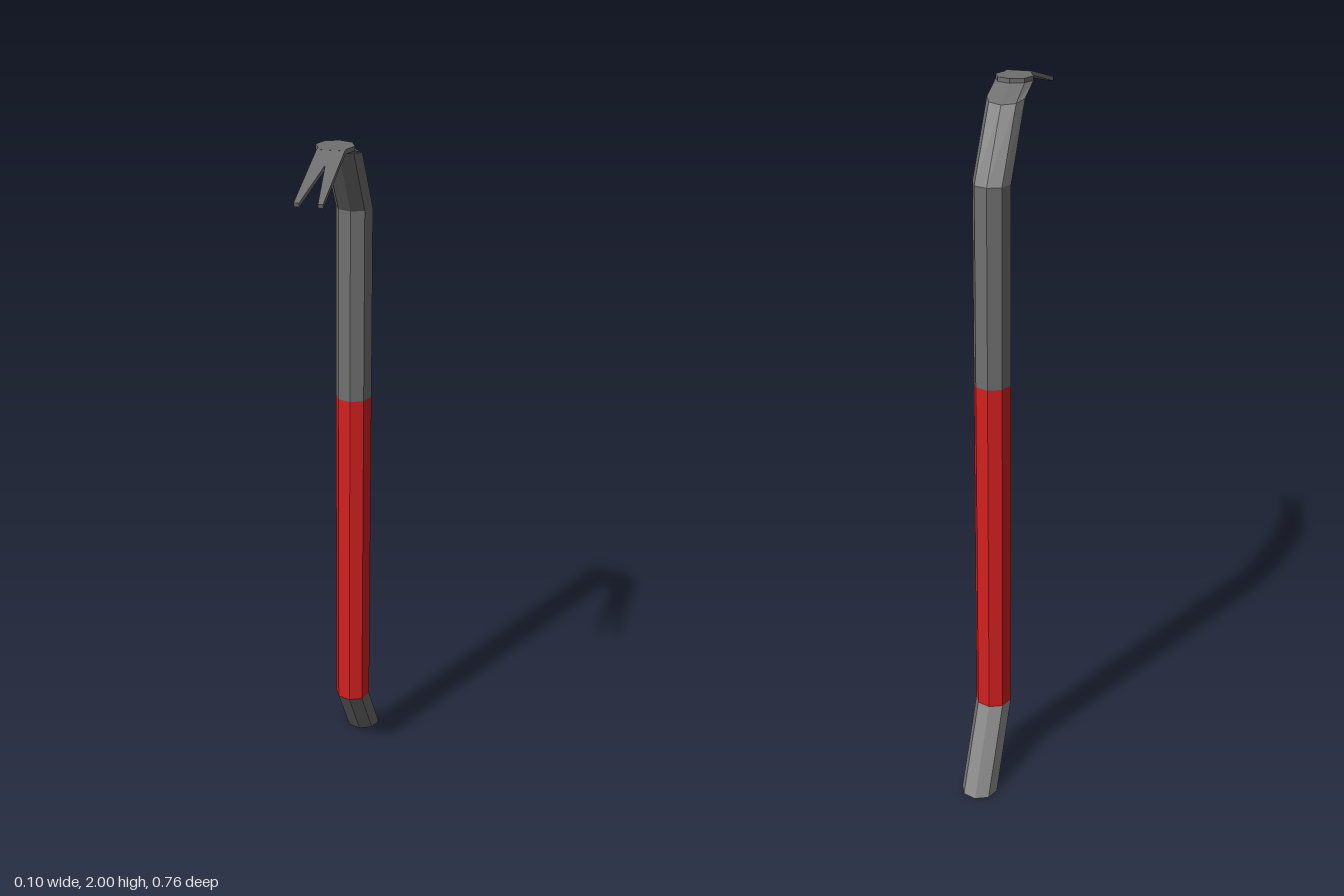
import * as THREE from 'three';

const R = 0.052;
const SIDES = 8;
const steel = new THREE.MeshStandardMaterial({ color: 0x707070, flatShading: true });
const red = new THREE.MeshStandardMaterial({ color: 0xd42020, flatShading: true });

// Corner j of an octagonal ring { y, z, tilt }, tilt raising its front edge
function corner(ring, j) {
  const a = (j / SIDES) * Math.PI * 2;
  const dz = R * Math.cos(a);
  return [R * Math.sin(a), ring.y + (ring.tilt || 0) * dz, ring.z + dz];
}

// Octagonal bar through rings listed from bottom to top, closed at both ends
function bar(name, rings, material) {
  const pos = [];
  const first = rings[0];
  const last = rings[rings.length - 1];
  for (let j = 0; j < SIDES; j++) {
    for (let i = 0; i + 1 < rings.length; i++) {
      const a = corner(rings[i], j), b = corner(rings[i], j + 1);
      const c = corner(rings[i + 1], j + 1), d = corner(rings[i + 1], j);
      pos.push(...a, ...b, ...c, ...a, ...c, ...d);
    }
    pos.push(0, first.y, first.z, ...corner(first, j + 1), ...corner(first, j));
    pos.push(0, last.y, last.z, ...corner(last, j), ...corner(last, j + 1));
  }
  const geo = new THREE.BufferGeometry();
  geo.setAttribute('position', new THREE.Float32BufferAttribute(pos, 3));
  geo.computeVertexNormals();
  const mesh = new THREE.Mesh(geo, material);
  mesh.name = name;
  return mesh;
}

// Flat plate from an outline of [x, z] points, lying on y = 0
function plate(name, points, thickness) {
  const shape = new THREE.Shape(points.map(([x, z]) => new THREE.Vector2(x, -z)));
  const geo = new THREE.ExtrudeGeometry(shape, { depth: thickness, bevelEnabled: false });
  geo.rotateX(-Math.PI / 2);
  const mesh = new THREE.Mesh(geo, steel);
  mesh.name = name;
  return mesh;
}

export function createModel() {
  const group = new THREE.Group();
  group.name = 'pryBar';

  const shaftZ = -0.164;
  const headZ = 0.076;
  const headY = 1.988;
  const thick = 0.012;
  const w = R * Math.SQRT1_2;

  // Angled foot, painted grip and bare upper shaft
  group.add(bar('foot', [{ y: 0, z: -0.327 }, { y: 0.21, z: shaftZ }], steel));
  group.add(bar('grip', [{ y: 0.21, z: shaftZ }, { y: 1.21, z: shaftZ }], red));
  group.add(bar('upperShaft', [{ y: 1.21, z: shaftZ }, { y: 1.77, z: shaftZ }], steel));

  // Neck bending forward under the head
  group.add(bar('neck', [
    { y: 1.77, z: shaftZ },
    { y: 1.96, z: -0.016, tilt: 0.17 },
    { y: headY, z: headZ },
  ], steel));

  // Flat head: octagon at the back, squared off at the front
  const head = plate('head', [
    [-w, 0.13], [w, 0.13], [w, headZ + w], [R, headZ], [w, headZ - w],
    [0, headZ - R], [-w, headZ - w], [-R, headZ], [-w, headZ + w],
  ], thick);
  head.position.y = headY;
  group.add(head);

  // Forked claw sloping down to the front
  const claw = plate('claw', [
    [-w, -0.002], [w, -0.002], [w, 0.256], [0.024, 0.256],
    [0.002, 0.072], [-0.023, 0.256], [-w, 0.256],
  ], thick);
  claw.rotation.x = 0.266;
  claw.position.set(0, headY, 0.13);
  group.add(claw);

  return group;
}
